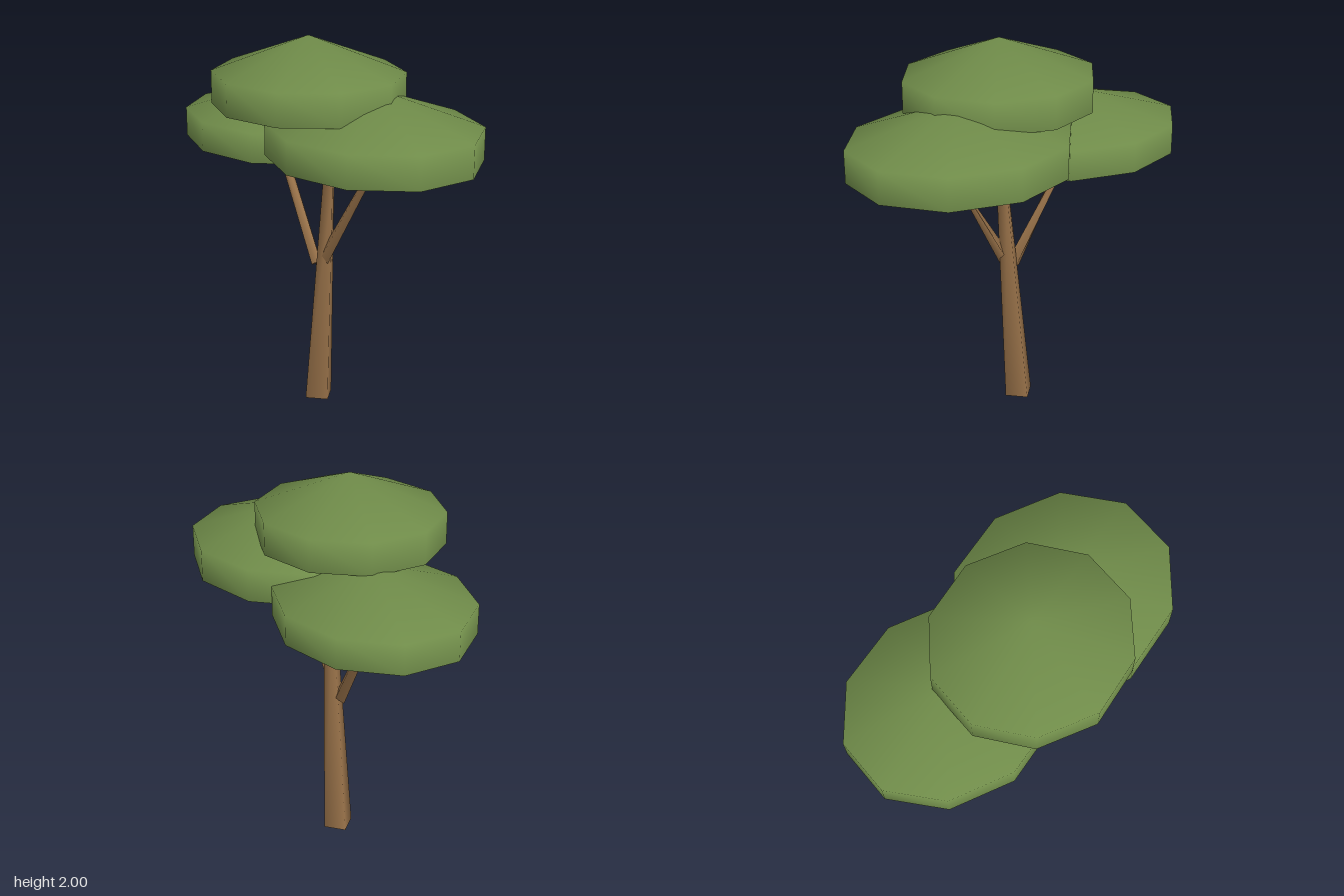
import * as THREE from 'three';
import { mergeVertices } from 'three/addons/utils/BufferGeometryUtils.js';

// Weld all corners so that shading runs smoothly over the few facets
function smooth(geometry) {
  geometry.deleteAttribute('uv');
  geometry.deleteAttribute('normal');
  const welded = mergeVertices(geometry, 1e-4);
  welded.computeVertexNormals();
  return welded;
}

// Four-sided limb; each end has a centre, a width across the lean and a depth along z
function limb(name, bottom, top, tilted, material) {
  const a = new THREE.Vector3(...bottom.at);
  const b = new THREE.Vector3(...top.at);
  const across = new THREE.Vector3(1, 0, 0);
  if (tilted) across.set(b.y - a.y, a.x - b.x, 0).normalize();

  const geometry = new THREE.CylinderGeometry(1, 1, 1, 4, 1);
  const p = geometry.attributes.position;
  const v = new THREE.Vector3();
  for (let i = 0; i < p.count; i++) {
    const isTop = p.getY(i) > 0;
    const end = isTop ? top : bottom;
    v.copy(isTop ? b : a).addScaledVector(across, p.getX(i) * end.w);
    v.z += p.getZ(i) * end.d;
    p.setXYZ(i, v.x, v.y, v.z);
  }
  const mesh = new THREE.Mesh(smooth(geometry), material);
  mesh.name = name;
  return mesh;
}

// Ten-sided leaf cap, open below: an upright rim under a shallow cone
function canopy(name, [x, y, z], rx, rz, rim, peak, material) {
  const profile = [
    new THREE.Vector2(1, 0),
    new THREE.Vector2(1, rim),
    new THREE.Vector2(0, peak),
  ];
  const geometry = new THREE.LatheGeometry(profile, 10);
  geometry.scale(rx, 1, rz);
  const mesh = new THREE.Mesh(smooth(geometry), material);
  mesh.position.set(x, y, z);
  mesh.name = name;
  return mesh;
}

export function createModel() {
  const bark = new THREE.MeshStandardMaterial({ color: 0x9a734a });
  bark.name = 'bark brown';
  const leaves = new THREE.MeshStandardMaterial({ color: 0x6f8b49, side: THREE.DoubleSide });
  leaves.name = 'leaf green';

  const tree = new THREE.Group();
  tree.name = 'tree';

  // Leaning trunk and two branches that flatten towards the tips
  tree.add(
    limb('trunk',
      { at: [-0.027, 0, 0], w: 0.085, d: 0.085 },
      { at: [0.07, 1.24, 0.005], w: 0.036, d: 0.036 }, false, bark),
    limb('leftBranch',
      { at: [0.015, 0.77, 0.02], w: 0.04, d: 0.025 },
      { at: [0.42, 1.44, -0.042], w: 0.004, d: 0.024 }, true, bark),
    limb('rightBranch',
      { at: [-0.01, 0.78, 0.025], w: 0.043, d: 0.03 },
      { at: [-0.385, 1.385, 0.013], w: 0.004, d: 0.026 }, true, bark),
  );

  // Three overlapping leaf caps
  tree.add(
    canopy('topCanopy', [0.025, 1.655, 0.095], 0.5, 0.474, 0.165, 0.345, leaves),
    canopy('leftCanopy', [0.36, 1.432, -0.06], 0.58, 0.512, 0.165, 0.345, leaves),
    canopy('rightCanopy', [-0.39, 1.373, -0.005], 0.553, 0.474, 0.152, 0.312, leaves),
  );
  return tree;
}
